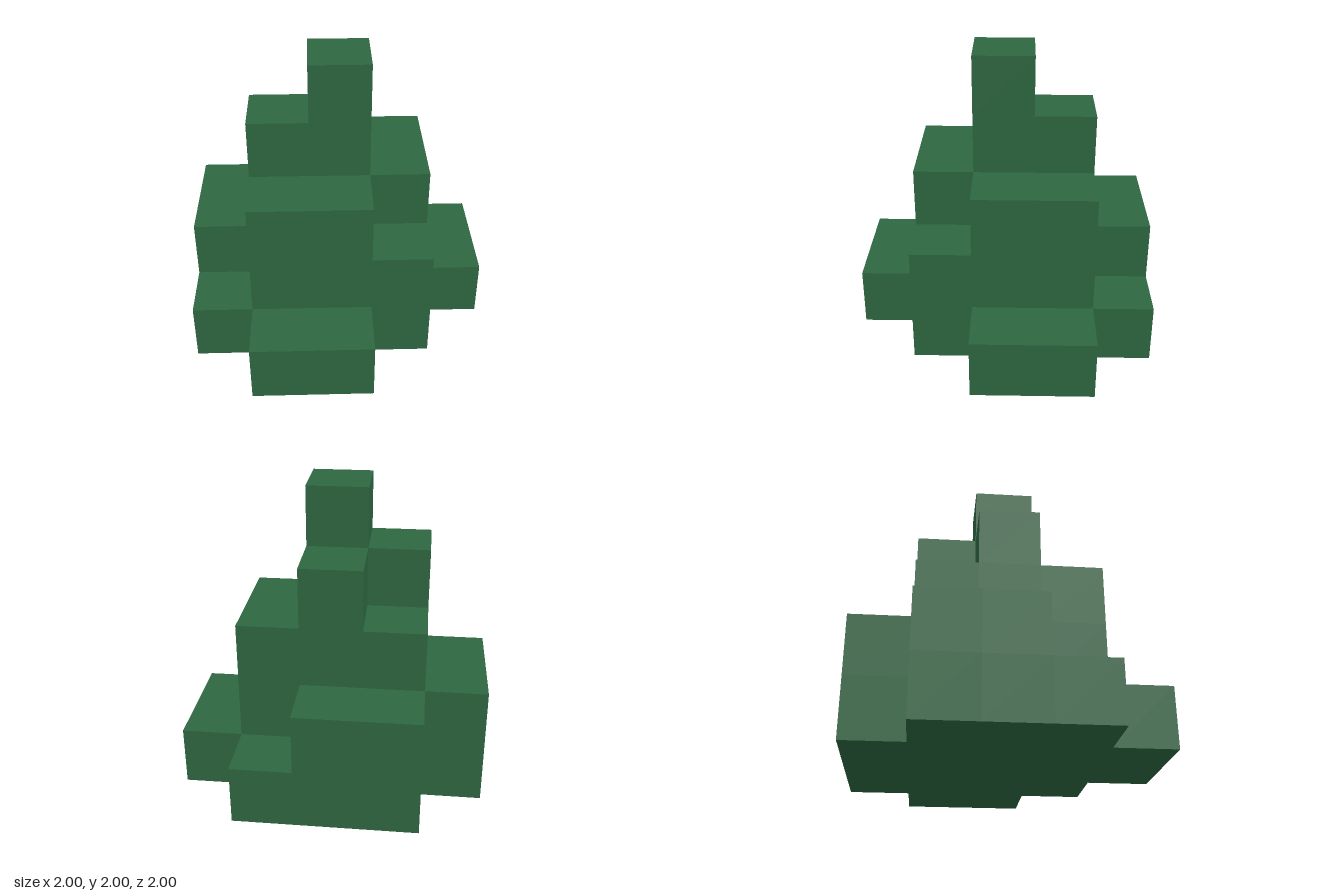
import * as THREE from 'three';
import { mergeGeometries } from 'three/addons/utils/BufferGeometryUtils.js';

const CELL = 0.4;

// Stack height of each column, in cells: rows run back to front, columns -x to +x
const HEIGHTS = [
  [0, 2, 2, 1, 0],
  [2, 3, 4, 3, 1],
  [2, 4, 5, 3, 1],
  [1, 3, 3, 2, 0],
  [0, 1, 1, 0, 0],
];

const TIER_NAMES = ['baseTier', 'lowerTier', 'middleTier', 'upperTier', 'treeTip'];

// Outward direction of each cube side, with the turn that faces a plane that way
const SIDES = [
  { d: [0, 0, 1], rx: 0, ry: 0 },
  { d: [0, 0, -1], rx: 0, ry: Math.PI },
  { d: [1, 0, 0], rx: 0, ry: Math.PI / 2 },
  { d: [-1, 0, 0], rx: 0, ry: -Math.PI / 2 },
  { d: [0, 1, 0], rx: -Math.PI / 2, ry: 0 },
  { d: [0, -1, 0], rx: Math.PI / 2, ry: 0 },
];

function filled(col, level, row) {
  return level >= 0 && level < (HEIGHTS[row]?.[col] ?? 0);
}

// One layer of cubes, keeping only the outer faces
function tierGeometry(level) {
  const faces = [];
  for (let row = 0; row < 5; row++) {
    for (let col = 0; col < 5; col++) {
      if (!filled(col, level, row)) continue;
      for (const { d, rx, ry } of SIDES) {
        if (filled(col + d[0], level + d[1], row + d[2])) continue;
        const face = new THREE.PlaneGeometry(CELL, CELL);
        face.rotateX(rx).rotateY(ry);
        face.translate(
          (col - 2 + d[0] / 2) * CELL,
          (level + 0.5 + d[1] / 2) * CELL,
          (row - 2 + d[2] / 2) * CELL
        );
        faces.push(face);
      }
    }
  }
  return mergeGeometries(faces);
}

export function createModel() {
  const model = new THREE.Group();
  model.name = 'blockTree';

  const foliage = new THREE.MeshStandardMaterial({ color: 0x2d6640 });
  foliage.name = 'foliage green';

  // Stepped tiers from the ground up
  TIER_NAMES.forEach((name, level) => {
    const tier = new THREE.Mesh(tierGeometry(level), foliage);
    tier.name = name;
    model.add(tier);
  });

  return model;
}
